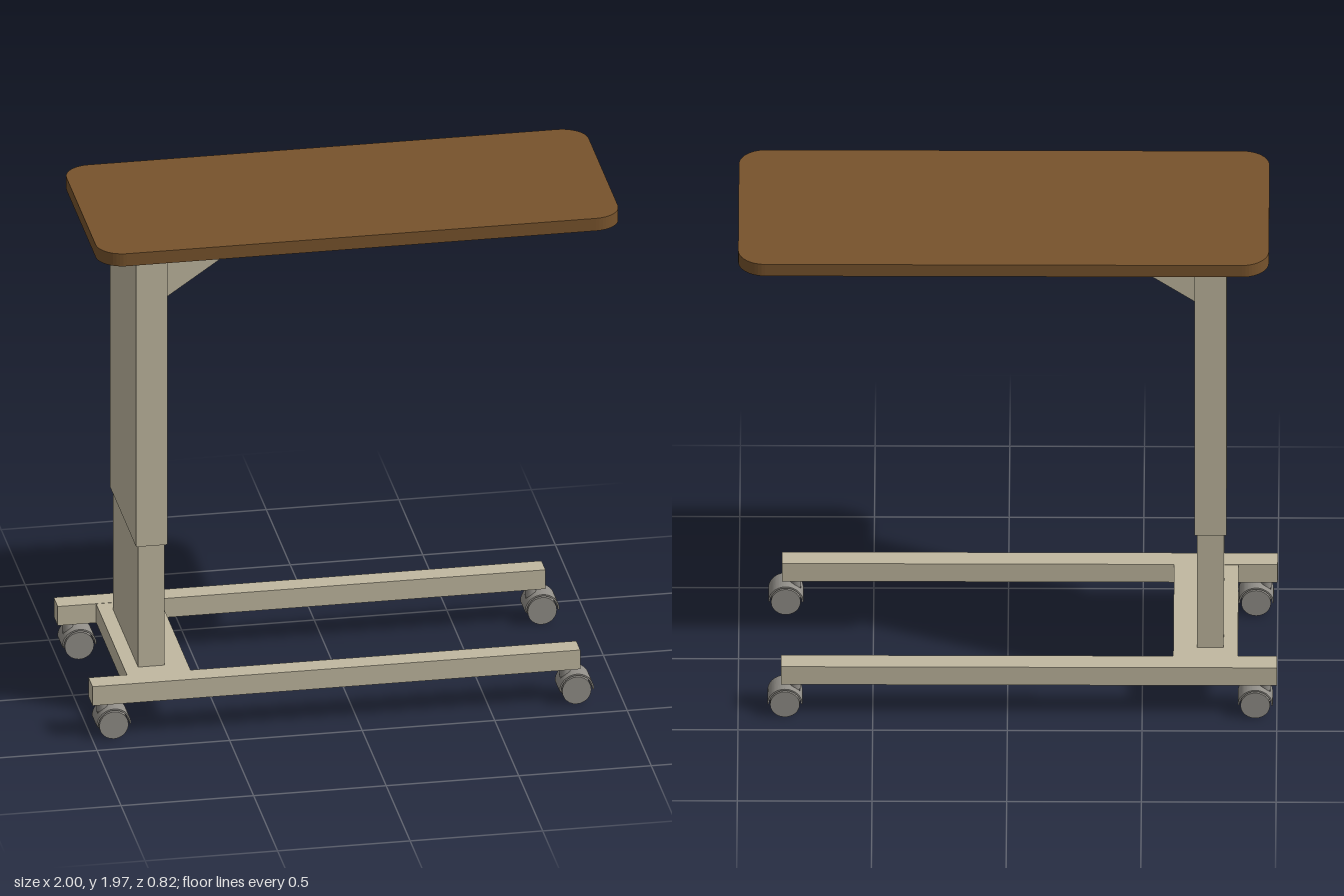
import * as THREE from 'three';

const cream = new THREE.MeshStandardMaterial({ name: 'creamPaint', color: 0xc0b8a0 });
const wood = new THREE.MeshStandardMaterial({ name: 'brownLaminate', color: 0x77532c });
const darkGrey = new THREE.MeshStandardMaterial({ name: 'undersideGrey', color: 0x7c7c7c });
const grey = new THREE.MeshStandardMaterial({ name: 'casterGrey', color: 0x918e88 });

function add(parent, name, geometry, material, x = 0, y = 0, z = 0) {
  const mesh = new THREE.Mesh(geometry, material);
  mesh.name = name;
  mesh.position.set(x, y, z);
  parent.add(mesh);
  return mesh;
}

// Box given by its extents on each axis
function box(parent, name, material, [x0, x1], [y0, y1], [z0, z1]) {
  return add(parent, name, new THREE.BoxGeometry(x1 - x0, y1 - y0, z1 - z0), material,
    (x0 + x1) / 2, (y0 + y1) / 2, (z0 + z1) / 2);
}

// Rectangle with rounded corners, centred on the origin
function roundedRect(w, d, r) {
  const s = new THREE.Shape();
  const x = w / 2 - r, y = d / 2 - r;
  s.absarc(x, y, r, 0, Math.PI / 2);
  s.absarc(-x, y, r, Math.PI / 2, Math.PI);
  s.absarc(-x, -y, r, Math.PI, Math.PI * 1.5);
  s.absarc(x, -y, r, Math.PI * 1.5, Math.PI * 2);
  s.closePath();
  return s;
}

// Twin-wheel caster with an arched hood, stem offset towards -x
function createCaster() {
  const caster = new THREE.Group();
  caster.name = 'caster';
  const wheel = new THREE.CylinderGeometry(0.055, 0.055, 0.036, 24).rotateX(Math.PI / 2);
  for (const side of [-1, 1]) add(caster, 'wheel', wheel, grey, 0, 0.056, side * 0.031);
  add(caster, 'axle', new THREE.CylinderGeometry(0.014, 0.014, 0.09, 12).rotateX(Math.PI / 2), grey, 0, 0.056, 0);

  const arch = new THREE.Shape();
  arch.absarc(0, 0, 0.065, 0, Math.PI);
  arch.absarc(0, 0, 0.059, Math.PI, 0, true);
  arch.closePath();
  const hood = new THREE.ExtrudeGeometry(arch, { depth: 0.1, bevelEnabled: false, curveSegments: 16 });
  add(caster, 'hood', hood.translate(0, 0, -0.05), grey, 0, 0.058, 0);

  box(caster, 'bracket', grey, [-0.055, 0.02], [0.036, 0.1], [-0.013, 0.013]);
  add(caster, 'stem', new THREE.CylinderGeometry(0.021, 0.021, 0.06, 16), grey, -0.036, 0.11, 0);
  return caster;
}

export function createModel() {
  const model = new THREE.Group();
  model.name = 'overbedTable';

  // Tabletop with a grey underside
  const outline = roundedRect(1.97, 0.806, 0.1);
  const top = new THREE.ExtrudeGeometry(outline, { depth: 0.051, bevelEnabled: false, curveSegments: 6 });
  add(model, 'tabletop', top.rotateX(-Math.PI / 2), wood, 0.015, 1.924, 0);
  const under = new THREE.ShapeGeometry(outline, 6).rotateX(Math.PI / 2);
  add(model, 'tabletopUnderside', under, darkGrey, 0.015, 1.921, 0);

  // Telescopic column and its mounting plate
  box(model, 'mountingPlate', cream, [-0.835, -0.68], [1.91, 1.921], [-0.3, 0.3]);
  box(model, 'upperColumn', cream, [-0.812, -0.694], [0.715, 1.912], [-0.275, 0.275]);
  box(model, 'lowerColumn', cream, [-0.802, -0.703], [0.2, 0.73], [-0.26, 0.26]);

  // Triangular brace under the top
  const triangle = new THREE.Shape();
  triangle.moveTo(-0.7, 1.578);
  triangle.lineTo(-0.694, 1.578);
  triangle.lineTo(-0.205, 1.912);
  triangle.lineTo(-0.2, 1.92);
  triangle.lineTo(-0.7, 1.92);
  triangle.closePath();
  const brace = new THREE.ExtrudeGeometry(triangle, { depth: 0.038, bevelEnabled: false });
  add(model, 'brace', brace.translate(0, 0, -0.019), cream);

  // Base frame
  box(model, 'crossBar', cream, [-0.855, -0.615], [0.141, 0.217], [-0.33, 0.33]);
  for (const side of [-1, 1]) {
    const rail = box(model, side > 0 ? 'frontRail' : 'backRail', cream, [-1, 0.84], [0.14, 0.218], [-0.041, 0.041]);
    rail.position.z = side * 0.363;
    for (const x of [-0.92, 0.826]) {
      const caster = createCaster();
      caster.position.set(x, 0, side * 0.36);
      model.add(caster);
    }
  }
  return model;
}
